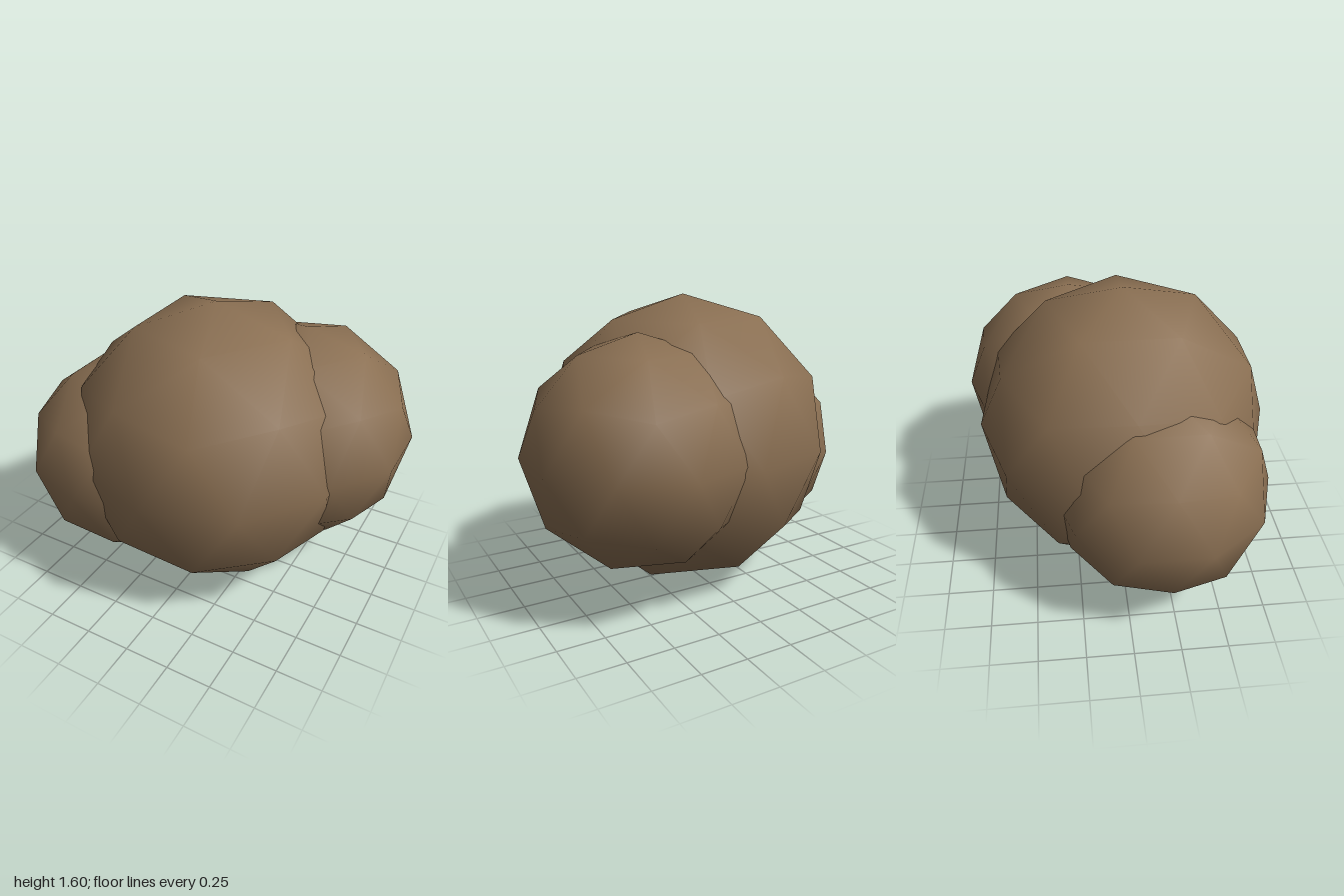
import * as THREE from 'three';

export function createModel() {
  const group = new THREE.Group();
  group.name = 'clump';
  const brown = new THREE.MeshStandardMaterial({ color: 0x8a6f52 });
  brown.name = 'earthBrown';

  // Smooth-shaded 80-face sphere, turned so that a corner points straight up
  const ball = new THREE.IcosahedronGeometry(1, 1);
  ball.rotateZ(-Math.atan2(2, 1 + Math.sqrt(5)));

  const addLobe = (name, radius, x, y, z) => {
    const lobe = new THREE.Mesh(ball, brown);
    lobe.name = name;
    lobe.scale.setScalar(radius);
    lobe.position.set(x, y, z);
    group.add(lobe);
  };

  addLobe('mainLobe', 0.802, 0.01, 0.802, 0.038);
  addLobe('leftBackLobe', 0.61, 0.415, 0.835, -0.23);
  addLobe('rightFrontLobe', 0.585, -0.445, 0.67, 0.196);
  return group;
}
